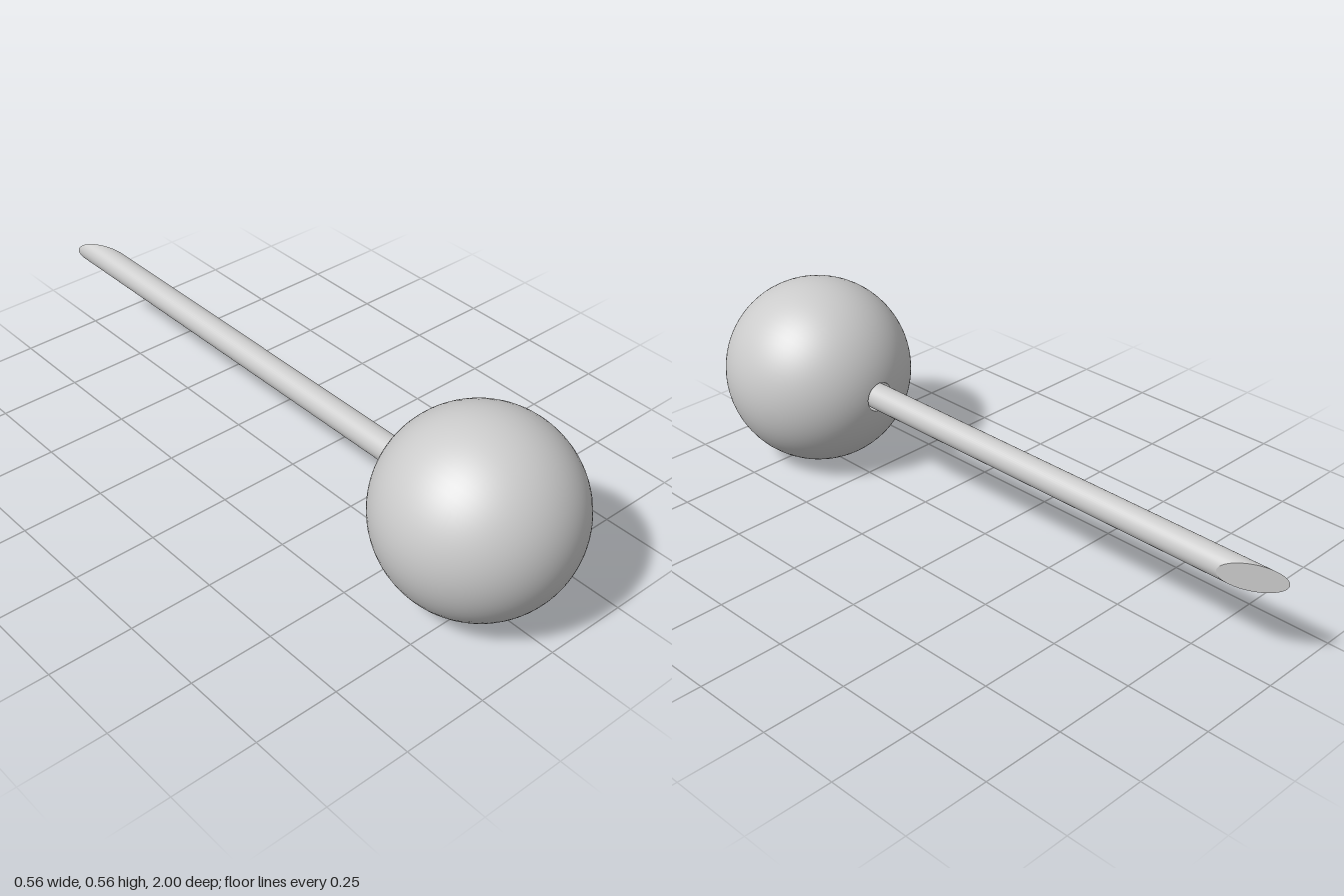
import * as THREE from 'three';

const R = 0.282, CZ = 1 - R;          // ball radius and centre depth
const ROD = 0.039, HOLE = 0.045;      // rod and socket radii
const FLOOR = 0.18;                   // socket floor, measured from the ball centre

export function createModel() {
  const group = new THREE.Group();
  const material = new THREE.MeshStandardMaterial({ color: 0xcccccc });
  const add = (name, geometry) => {
    const mesh = new THREE.Mesh(geometry, material);
    mesh.name = name;
    mesh.position.set(0, R, CZ);
    group.add(mesh);
  };

  // Ball, open at the back where the rod plugs in
  const rim = Math.asin(HOLE / R);
  const ball = new THREE.SphereGeometry(R, 64, 48, 0, Math.PI * 2, rim, Math.PI - rim);
  add('ball', ball.rotateX(-Math.PI / 2));

  // Socket wall and floor inside the ball
  const rimY = R * Math.cos(rim);
  const wall = new THREE.LatheGeometry(
    [new THREE.Vector2(HOLE, rimY), new THREE.Vector2(HOLE, FLOOR)], 48);
  add('socketWall', wall.rotateX(-Math.PI / 2));
  const floor = new THREE.CircleGeometry(HOLE, 48).rotateY(Math.PI);
  add('socketFloor', floor.translate(0, 0, -FLOOR));

  // Rod running backwards, its far end sheared to a slanted cut (long on -x)
  const tipLong = -1 - CZ, tipShort = -0.835 - CZ;
  const length = 1;
  const rod = new THREE.CylinderGeometry(ROD, ROD, length, 48).rotateX(-Math.PI / 2);
  const p = rod.attributes.position, n = rod.attributes.normal;
  const slope = (tipShort - tipLong) / (2 * ROD);
  const cutNormal = new THREE.Vector3(slope, 0, -1).normalize();
  for (let i = 0; i < p.count; i++) {
    if (p.getZ(i) < 0) {
      p.setZ(i, tipLong + slope * (p.getX(i) + ROD));
      if (n.getZ(i) < -0.9) n.setXYZ(i, cutNormal.x, cutNormal.y, cutNormal.z);
    } else {
      p.setZ(i, -FLOOR);
    }
  }
  add('rod', rod);

  return group;
}
